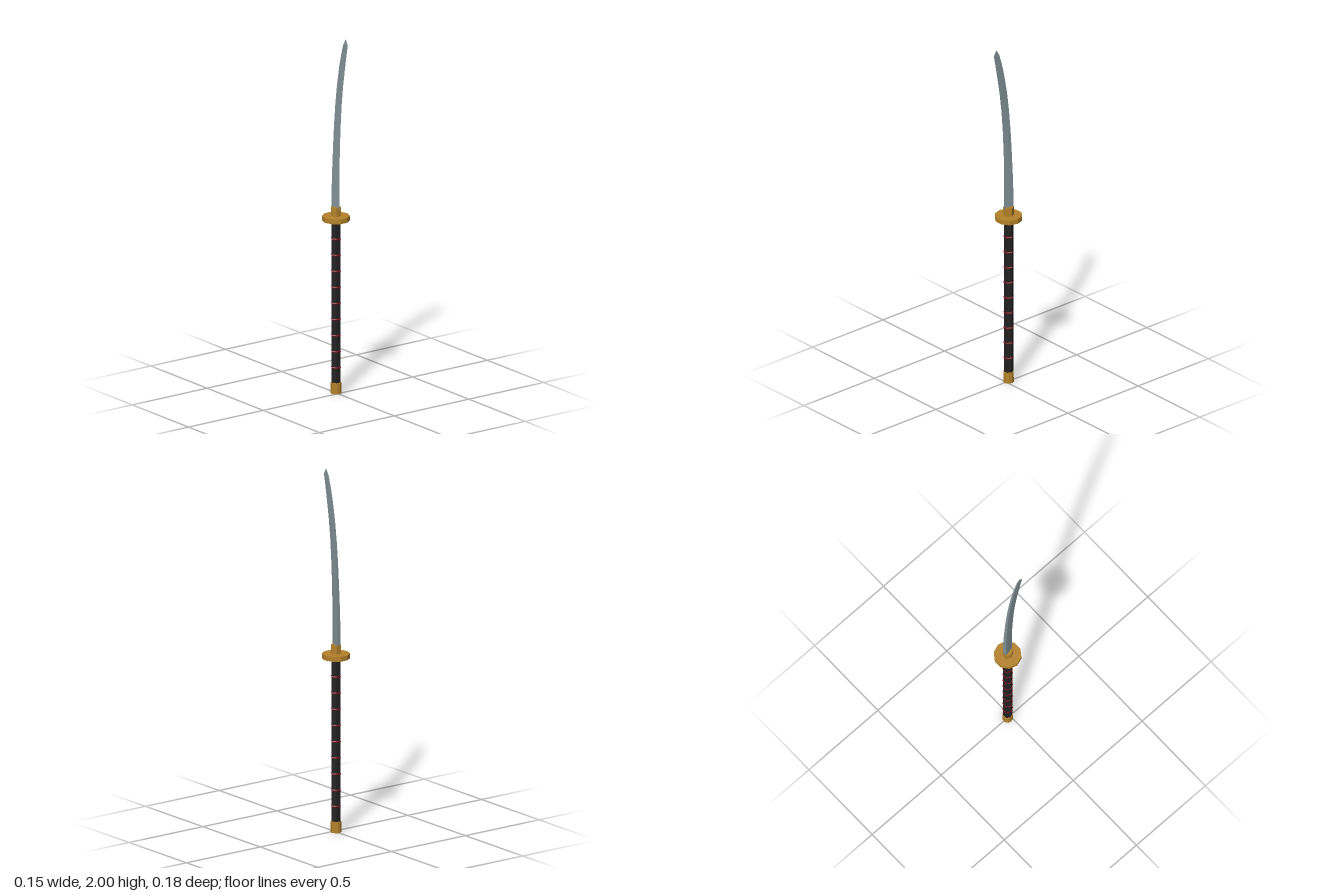
import * as THREE from 'three';

const AXIS_Z = -0.017; // handle axis

const mat = (color) => new THREE.MeshStandardMaterial({ color, flatShading: true });

export function createModel() {
  const model = new THREE.Group();
  model.name = 'sword';
  const gold = mat(0xb5832a), black = mat(0x222222), red = mat(0x8a1420), steel = mat(0x84959a);

  // Faceted upright prism with a corner on +x, between two heights
  function prism(name, rTop, rBottom, y0, y1, sides, material) {
    const geo = new THREE.CylinderGeometry(rTop, rBottom, y1 - y0, sides);
    geo.rotateY(Math.PI / 2);
    const mesh = new THREE.Mesh(geo, material);
    mesh.name = name;
    mesh.position.set(0, (y0 + y1) / 2, AXIS_Z);
    model.add(mesh);
  }

  prism('pommel', 0.028, 0.029, 0, 0.062, 10, gold);
  prism('grip', 0.026, 0.026, 0.055, 0.97, 6, black);
  prism('guard', 0.075, 0.075, 0.966, 0.993, 10, gold);
  prism('collar', 0.029, 0.029, 0.99, 1.042, 6, gold);

  // Red wrap rings, evenly spaced up the grip
  const wraps = new THREE.Group();
  wraps.name = 'gripWraps';
  const ringGeo = new THREE.TorusGeometry(0.0235, 0.0055, 6, 6);
  ringGeo.rotateX(Math.PI / 2);
  for (let i = 0; i < 10; i++) {
    const ring = new THREE.Mesh(ringGeo, red);
    ring.name = 'wrapRing';
    ring.position.set(0, 0.146 + i * 0.09, AXIS_Z);
    wraps.add(ring);
  }
  model.add(wraps);

  // Curved blade stations: [spineY, spineZ, edgeY, edgeZ, halfThickness]
  const stations = [
    [1.03, -0.041, 1.03, 0.014, 0.0125],
    [1.13, -0.041, 1.13, 0.014, 0.0118],
    [1.25, -0.037, 1.25, 0.014, 0.0106],
    [1.38, -0.031, 1.38, 0.018, 0.0093],
    [1.5, -0.024, 1.5, 0.024, 0.0081],
    [1.62, -0.014, 1.62, 0.033, 0.0068],
    [1.73, -0.001, 1.73, 0.046, 0.0056],
    [1.84, 0.018, 1.84, 0.064, 0.0044],
    [1.91, 0.034, 1.91, 0.076, 0.0036],
    [1.97, 0.052, 1.97, 0.088, 0.003],
    [2.0, 0.069, 1.995, 0.074, 0.001],
  ];
  const points = [], index = [], N = 5;
  // Each section: flat spine, shoulder ridge, sharp cutting edge
  for (const [sy, sz, ey, ez, w] of stations) {
    for (const [t, k] of [[0, 1], [0.4, 0.72], [1, 0], [0.4, -0.72], [0, -1]]) {
      points.push(k * w, sy + (ey - sy) * t, sz + (ez - sz) * t);
    }
  }
  for (let i = 0; i < stations.length - 1; i++) {
    for (let j = 0; j < N; j++) {
      const a = i * N + j, b = i * N + (j + 1) % N;
      index.push(a, a + N, b, b, a + N, b + N);
    }
  }
  const last = (stations.length - 1) * N;
  for (let j = 1; j < N - 1; j++) {
    index.push(0, j, j + 1, last, last + j + 1, last + j);
  }
  const bladeGeo = new THREE.BufferGeometry();
  bladeGeo.setAttribute('position', new THREE.Float32BufferAttribute(points, 3));
  bladeGeo.setIndex(index);
  bladeGeo.computeVertexNormals();
  const blade = new THREE.Mesh(bladeGeo, steel);
  blade.name = 'blade';
  steel.side = THREE.DoubleSide;
  model.add(blade);

  return model;
}
